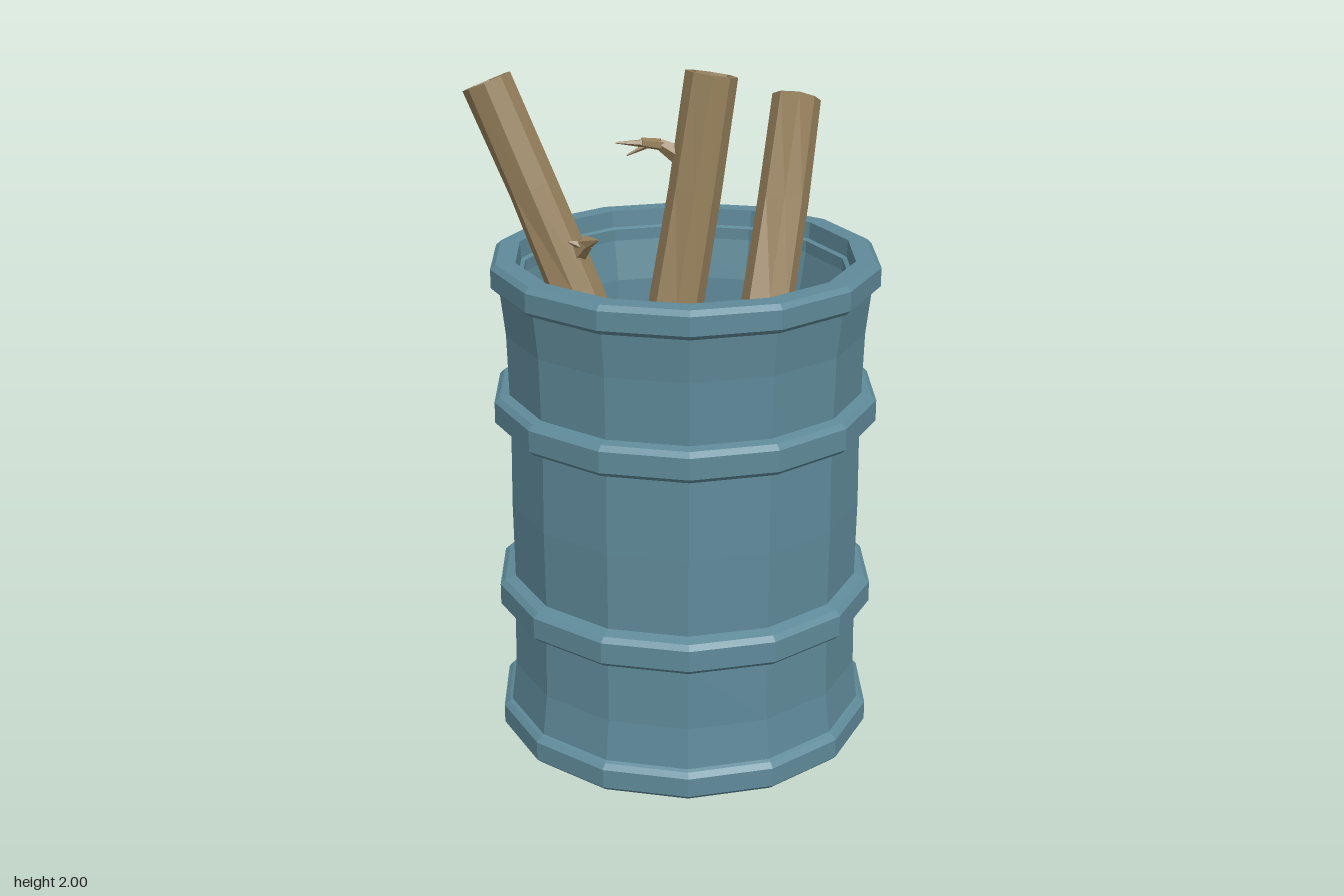
import * as THREE from 'three';

const V = (p) => new THREE.Vector3(...p);
const UP = new THREE.Vector3(0, 1, 0);
const lathe = (pts, sides) =>
  new THREE.LatheGeometry(pts.map(([r, y]) => new THREE.Vector2(r, y)), sides);

export function createModel() {
  const steel = new THREE.MeshStandardMaterial({ color: 0x5f8a99, flatShading: true });
  steel.name = 'blue steel';
  const wood = new THREE.MeshStandardMaterial({ color: 0x96805c, flatShading: true });
  wood.name = 'wood';

  const model = new THREE.Group();
  model.name = 'barrelWithLogs';

  // Barrel shell: recessed base, outer wall with hoops, rim, inner wall, floor
  const hoop = (y0, y1) => [[0.545, y0], [0.56, y0 + 0.014], [0.56, y1 - 0.014], [0.545, y1]];
  const shell = [
    [0, 0.055], [0.465, 0.055], [0.465, 0.03], [0.485, 0.025], [0.485, 0.0],
    ...hoop(0, 0.085), [0.535, 0.09], [0.52, 0.21], [0.517, 0.4],
    ...hoop(0.4, 0.49), [0.514, 0.5], [0.517, 0.73], [0.514, 0.97],
    ...hoop(0.975, 1.065), [0.516, 1.07], [0.521, 1.25], [0.535, 1.375],
    ...hoop(1.378, 1.46), [0.488, 1.46], [0.485, 1.41], [0.473, 1.405], [0.473, 1.37],
    [0.45, 1.25], [0.446, 1.08], [0.475, 1.06], [0.475, 0.99], [0.446, 0.97],
    [0.448, 0.73], [0.446, 0.5], [0.475, 0.48], [0.475, 0.41], [0.446, 0.4],
    [0.45, 0.21], [0.46, 0.1], [0, 0.1],
  ];
  const barrel = new THREE.Mesh(lathe(shell, 14), steel);
  barrel.name = 'barrel';
  barrel.position.x = 0.043;
  model.add(barrel);

  // Log: eight-sided trunk with hollowed cut ends and a slightly uneven bark
  function addLog(name, bottom, top, radius) {
    const a = V(bottom), dir = V(top).sub(a), len = dir.length();
    const pts = [[0, 0.015], [radius * 0.8, 0.015], [radius * 0.9, 0]];
    for (let i = 0; i <= 6; i++) pts.push([radius * (1.1 - 0.1 * i / 6), (len * i) / 6]);
    pts.push([radius * 0.82, len], [radius * 0.78, len - 0.018], [0, len - 0.018]);
    const geo = lathe(pts, 8), pos = geo.attributes.position;
    for (let i = 0; i < pos.count; i++) {
      const x = pos.getX(i), y = pos.getY(i), z = pos.getZ(i), t = Math.atan2(z, x);
      const k = 1 + 0.05 * Math.sin(3 * t + 5 * y) + 0.04 * Math.cos(2 * t - 9 * y);
      pos.setXYZ(i, x * k, y, z * k);
    }
    geo.computeVertexNormals();
    const log = new THREE.Mesh(geo, wood);
    log.name = name;
    log.position.copy(a);
    log.quaternion.setFromUnitVectors(UP, dir.normalize());
    model.add(log);
  }
  addLog('tallLog', [-0.18, 0.11, 0.31], [0.112, 1.985, 0.09], 0.073);
  addLog('leftLog', [0.22, 0.11, 0.05], [-0.52, 1.91, -0.195], 0.073);
  addLog('rightLog', [0.11, 0.11, 0.28], [0.387, 1.81, -0.445], 0.075);

  // Twigs: chains of tapering five-sided segments, [start, end, r0, r1]
  function addTwig(name, segments) {
    const twig = new THREE.Group();
    twig.name = name;
    for (const [p, q, r0, r1] of segments) {
      const a = V(p), b = V(q), d = b.clone().sub(a);
      const m = new THREE.Mesh(new THREE.CylinderGeometry(r1, r0, d.length(), 5), wood);
      m.name = 'twigSegment';
      m.position.copy(a).add(b).multiplyScalar(0.5);
      m.quaternion.setFromUnitVectors(UP, d.normalize());
      twig.add(m);
    }
    model.add(twig);
  }
  addTwig('tallLogTwig', [
    [[0.05, 1.75, 0.11], [-0.03, 1.795, 0.1], 0.035, 0.016],
    [[-0.03, 1.795, 0.1], [-0.08, 1.805, 0.08], 0.015, 0.003],
    [[-0.02, 1.79, 0.1], [-0.08, 1.805, 0.135], 0.015, 0.011],
    [[-0.08, 1.805, 0.135], [-0.15, 1.81, 0.15], 0.011, 0.002],
    [[-0.06, 1.8, 0.125], [-0.12, 1.77, 0.13], 0.01, 0.002],
  ]);
  addTwig('leftLogUpperTwig', [
    [[-0.29, 1.4, -0.12], [-0.24, 1.465, -0.075], 0.04, 0.022],
    [[-0.24, 1.465, -0.075], [-0.205, 1.485, -0.03], 0.022, 0.003],
    [[-0.25, 1.455, -0.08], [-0.29, 1.47, -0.07], 0.018, 0.003],
  ]);
  addTwig('leftLogLowerTwig', [
    [[-0.08, 0.85, -0.02], [-0.045, 0.9, 0.04], 0.032, 0.015],
    [[-0.045, 0.9, 0.04], [-0.005, 0.92, 0.07], 0.014, 0.003],
  ]);
  addTwig('rightLogUpperTwig', [
    [[0.28, 1.07, -0.13], [0.305, 1.14, -0.11], 0.035, 0.016],
    [[0.305, 1.14, -0.11], [0.33, 1.16, -0.07], 0.015, 0.003],
    [[0.3, 1.13, -0.12], [0.29, 1.17, -0.16], 0.014, 0.003],
  ]);
  addTwig('rightLogLowerTwig', [
    [[0.14, 0.3, 0.22], [0.21, 0.34, 0.27], 0.04, 0.022],
    [[0.21, 0.34, 0.27], [0.245, 0.36, 0.33], 0.02, 0.005],
  ]);

  return model;
}
